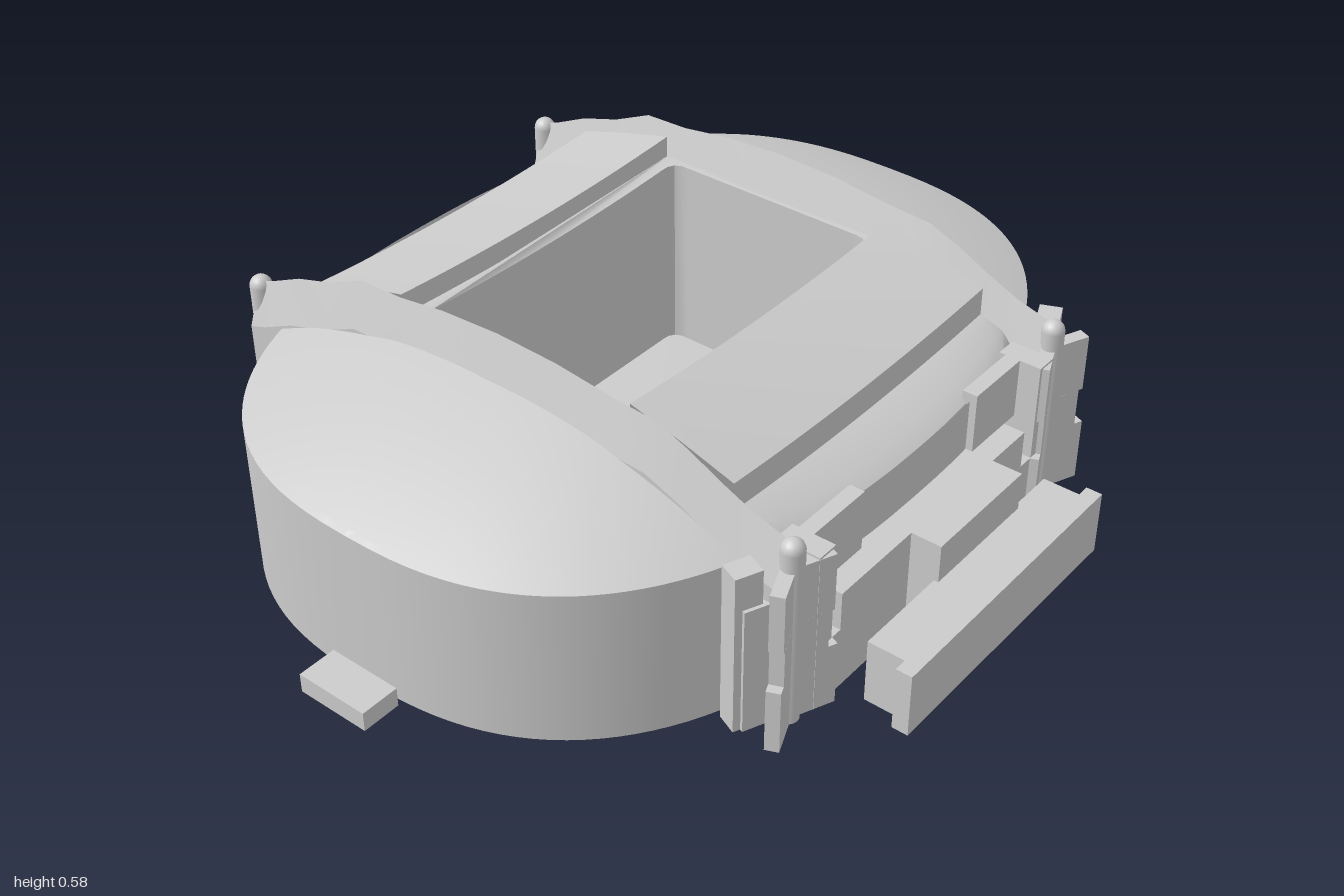
import * as THREE from 'three';
import { toCreasedNormals } from 'three/addons/utils/BufferGeometryUtils.js';

const mat = new THREE.MeshStandardMaterial({ color: 0xcccccc, side: THREE.DoubleSide });
const CZ = -0.095, RX = 0.9, RZ = 0.685, N = 2.5, WALL = 0.36;

// Half depth of the rounded oval plan at a given x
const halfDepth = x => RZ * Math.pow(Math.max(0, 1 - Math.pow(Math.abs(x) / RX, N)), 1 / N);
const sag = x => 0.015 * Math.max(0, 1 - (x / 0.43) ** 2);

function ovalPoint(a) {
  const c = Math.cos(a), s = Math.sin(a), p = 2 / N;
  return [RX * Math.sign(c) * Math.abs(c) ** p, RZ * Math.sign(s) * Math.abs(s) ** p];
}

// Grid surface from a function of two integer indices
function grid(nu, nv, fn, crease = 0.5) {
  const pos = [], idx = [];
  for (let j = 0; j <= nv; j++) for (let i = 0; i <= nu; i++) pos.push(...fn(i, j));
  for (let j = 0; j < nv; j++) for (let i = 0; i < nu; i++) {
    const a = j * (nu + 1) + i, b = a + 1, c = a + nu + 1, d = c + 1;
    idx.push(a, b, d, a, d, c);
  }
  const g = new THREE.BufferGeometry();
  g.setAttribute('position', new THREE.Float32BufferAttribute(pos, 3));
  g.setIndex(idx);
  return toCreasedNormals(g, crease);
}

function roundedRect(S, w, h, r) {
  const s = new S();
  s.moveTo(w - r, -h);
  s.absarc(w - r, -h + r, r, -Math.PI / 2, 0);
  s.absarc(w - r, h - r, r, 0, Math.PI / 2);
  s.absarc(-w + r, h - r, r, Math.PI / 2, Math.PI);
  s.absarc(-w + r, -h + r, r, Math.PI, Math.PI * 1.5);
  s.closePath();
  return s;
}

export function createModel() {
  const model = new THREE.Group();
  const add = (name, geo, parent = model) => {
    const m = new THREE.Mesh(geo, mat);
    m.name = name;
    parent.add(m);
    return m;
  };
  // Box given by its extents
  const box = (name, x0, x1, y0, y1, z0, z1) => {
    const m = add(name, new THREE.BoxGeometry(x1 - x0, y1 - y0, z1 - z0));
    m.position.set((x0 + x1) / 2, (y0 + y1) / 2, (z0 + z1) / 2);
    return m;
  };

  // Outer wall and base
  add('outerWall', grid(128, 1, (i, j) => {
    const [x, z] = ovalPoint(-2 * Math.PI * i / 128);
    return [x, j * WALL, CZ + z];
  }));
  const plan = new THREE.Shape(Array.from({ length: 128 }, (_, i) => new THREE.Vector2(...ovalPoint(2 * Math.PI * i / 128))));
  add('base', new THREE.ShapeGeometry(plan).rotateX(Math.PI / 2).translate(0, 0, CZ));

  // Domed side roofs
  for (const s of [1, -1]) {
    add('sideRoof', grid(40, 24, (i, j) => {
      const x = 0.43 + (RX - 0.43) * Math.sin(j / 24 * Math.PI / 2);
      const z = halfDepth(x) * Math.sin((i / 20 - 1) * Math.PI / 2);
      const r = Math.pow((x / RX) ** N + (Math.abs(z) / RZ) ** N, 1 / N);
      return [s * x, WALL + 0.19 * Math.max(0, 1 - r * r), CZ + s * z];
    }));
  }

  // Stepped, sagging roof bands in front of and behind the opening
  for (const e of [1, -1]) {
    add('roofBand', grid(24, 7, (i, j) => {
      const x = 0.43 * (i / 12 - 1), o = halfDepth(x);
      const [z, y] = [[o, 0.34], [o - 0.008, 0.365], [o * 0.65 + 0.555 * 0.35, 0.387], [0.555, 0.405],
        [0.555, 0.47], [0.43, 0.508], [0.305, 0.54], [0.305, 0.47]][j];
      return [e * x, y - sag(x), CZ + e * z];
    }));
  }

  // Frame around the opening with its inner walls, and the pitch below
  const frame = new THREE.Shape(roundedRect(THREE.Shape, 0.43, 0.306, 0.004).getSpacedPoints(120));
  frame.holes.push(new THREE.Path(roundedRect(THREE.Path, 0.415, 0.275, 0.03).getSpacedPoints(160)));
  const frameGeo = new THREE.ExtrudeGeometry(frame, { depth: 0.48, bevelEnabled: false })
    .rotateX(-Math.PI / 2).translate(0, 0.01, CZ);
  const p = frameGeo.attributes.position;
  for (let i = 0; i < p.count; i++) if (p.getY(i) > 0.3) p.setY(i, p.getY(i) - sag(p.getX(i)));
  add('openingFrame', toCreasedNormals(frameGeo, 0.5));
  box('pitch', -0.425, 0.425, 0.005, 0.02, CZ - 0.29, CZ + 0.29);

  // Ridge beams with end columns
  const ridge = [[0.62, 0.43], [0.53, 0.455], [0.45, 0.49], [0.38, 0.525], [0.3, 0.557], [0.2, 0.563], [0.05, 0.58], [-0.1, 0.585],
    [-0.25, 0.577], [-0.37, 0.56], [-0.48, 0.557], [-0.58, 0.512], [-0.68, 0.482], [-0.77, 0.44], [-0.815, 0.425]];
  const section = [[-0.037, -0.24], [-0.037, -0.1], [0, 0], [0.037, -0.1], [0.037, -0.24]];
  for (const s of [1, -1]) {
    const cx = s * 0.46;
    add('ridgeBeam', grid(4, ridge.length - 1, (i, j) =>
      [cx + section[i][0], ridge[j][1] + section[i][1], ridge[j][0]], 0.3));
    box('backButtress', cx - 0.037, cx + 0.037, 0, 0.325, -0.815, -0.68);
    box('frontButtress', cx - 0.037, cx + 0.037, 0, 0.33, 0.48, 0.615);
    for (const z of [0.62, -0.81]) {
      add('column', new THREE.CylinderGeometry(0.025, 0.025, 0.415, 16)).position.set(cx, 0.2075, z);
      add('columnCap', new THREE.SphereGeometry(0.025, 16, 12)).position.set(cx, 0.415, z);
    }

    // Splayed fins beside the front columns, widest at the bottom
    for (const [y0, y1, len] of [[0, 0.15, 0.1], [0.15, 0.24, 0.08], [0.24, 0.375, 0.09]]) {
      for (const t of [1, -1]) {
        const fin = add('frontFin', new THREE.BoxGeometry(len, y1 - y0, 0.03));
        fin.position.set(cx + t * len / 2, (y0 + y1) / 2, 0.615 + len * 0.2);
        fin.rotation.y = -t * 0.4;
      }
    }
    // Turned piers outside, panels inside
    const pier = add('sidePier', new THREE.BoxGeometry(0.06, 0.38, 0.05));
    pier.position.set(s > 0 ? 0.56 : -0.525, 0.19, 0.555);
    pier.rotation.y = s * 0.4;
    const link = add('pierLink', new THREE.BoxGeometry(0.07, 0.3, 0.04));
    link.position.set(s * 0.51, 0.15, 0.575);
    link.rotation.y = s * 0.4;
    box('innerPier', s > 0 ? 0.365 : -0.415, s > 0 ? 0.415 : -0.365, 0, 0.38, 0.55, 0.65);
    box('upperPanel', s > 0 ? 0.2 : -0.39, s > 0 ? 0.39 : -0.2, 0.24, 0.38, 0.565, 0.6);
    box('sideBlock', ...(s > 0 ? [0.9, 1].map((v, i) => i ? v : 0.91) : [-1, -0.91]), 0, 0.045, -0.16, 0.015);
  }

  // Front entrance building in steps
  box('entranceLower', -0.37, 0.37, 0, 0.15, 0.56, 0.65);
  box('entranceUpper', -0.335, 0.325, 0.15, 0.24, 0.56, 0.65);
  box('entranceLink', -0.1, 0.2, 0, 0.24, 0.64, 0.72);
  box('frontHall', -0.33, 0.32, 0, 0.15, 0.71, 0.8);
  box('frontScreen', -0.36, 0.35, 0, 0.15, 0.795, 0.832);
  return model;
}
